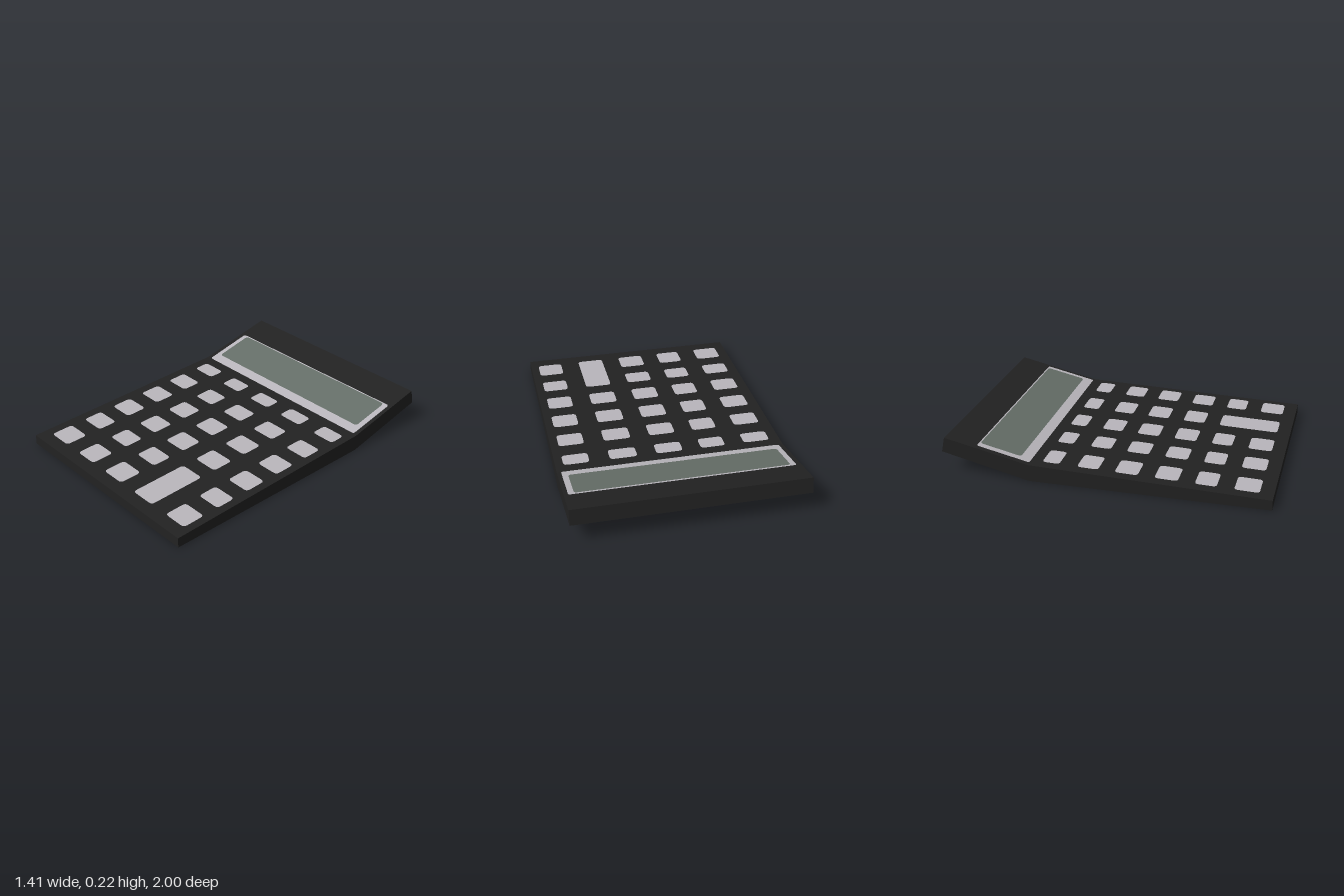
import * as THREE from 'three';

const black = new THREE.MeshStandardMaterial({ color: 0x222222 });
black.name = 'blackCase';
const grey = new THREE.MeshStandardMaterial({ color: 0xb9b6bc });
grey.name = 'paleGrey';
const green = new THREE.MeshStandardMaterial({ color: 0x656e68 });
green.name = 'screenGreen';

const HALF_WIDTH = 0.705;
const FOLD = { z: -0.45, y: 0.105 };
const FRONT = { z: 1, y: 0.063 };
const BACK = { z: -0.98, y: 0.223 };

// Height of the bent top face at depth z
function topHeight(z) {
  const end = z < FOLD.z ? BACK : FRONT;
  return FOLD.y + ((z - FOLD.z) / (end.z - FOLD.z)) * (end.y - FOLD.y);
}

// Rounded rectangle laid on the top face, spanning x0..x1 and z0..z1
function plate(name, [x0, x1], [z0, z1], radius, lift, material) {
  const s = new THREE.Shape();
  const b = -z1, t = -z0, r = radius;
  s.moveTo(x0 + r, b);
  s.lineTo(x1 - r, b);
  s.quadraticCurveTo(x1, b, x1, b + r);
  s.lineTo(x1, t - r);
  s.quadraticCurveTo(x1, t, x1 - r, t);
  s.lineTo(x0 + r, t);
  s.quadraticCurveTo(x0, t, x0, t - r);
  s.lineTo(x0, b + r);
  s.quadraticCurveTo(x0, b, x0 + r, b);
  const geometry = new THREE.ShapeGeometry(s, 4).rotateX(-Math.PI / 2);
  const p = geometry.attributes.position;
  for (let i = 0; i < p.count; i++) p.setY(i, topHeight(p.getZ(i)) + lift);
  geometry.computeVertexNormals();
  const mesh = new THREE.Mesh(geometry, material);
  mesh.name = name;
  return mesh;
}

export function createModel() {
  const model = new THREE.Group();
  model.name = 'calculator';

  // Case: bent side profile extruded across the width
  const profile = [[1, 0], [-0.45, 0], [-1, 0.13], [BACK.z, BACK.y], [FOLD.z, FOLD.y], [FRONT.z, FRONT.y]];
  const shape = new THREE.Shape(profile.map(([z, y]) => new THREE.Vector2(-z, y)));
  const caseGeometry = new THREE.ExtrudeGeometry(shape, { depth: HALF_WIDTH * 2, bevelEnabled: false });
  caseGeometry.translate(0, 0, -HALF_WIDTH).rotateY(Math.PI / 2);
  const body = new THREE.Mesh(caseGeometry, black);
  body.name = 'case';
  model.add(body);

  // Display on the raised rear panel
  model.add(plate('displayFrame', [-0.675, 0.68], [-0.785, -0.455], 0.015, 0.002, grey));
  model.add(plate('displayScreen', [-0.64, 0.645], [-0.775, -0.518], 0.02, 0.005, green));

  // Keypad: five columns, six rows, one double-height key
  const columns = [[-0.64, -0.475], [-0.355, -0.2], [-0.085, 0.08], [0.2, 0.37], [0.495, 0.655]];
  const rows = [[-0.385, -0.28], [-0.17, -0.04], [0.06, 0.2], [0.3, 0.44], [0.54, 0.668], [0.77, 0.917]];
  const keypad = new THREE.Group();
  keypad.name = 'keypad';
  rows.forEach((row, r) => columns.forEach((column, c) => {
    if (c === 3 && r === 5) return;
    const tall = c === 3 && r === 4;
    const span = tall ? [row[0], rows[5][1]] : row;
    keypad.add(plate(tall ? 'tallKey' : `key${r + 1}_${c + 1}`, column, span, 0.025, 0.002, grey));
  }));
  model.add(keypad);

  return model;
}
